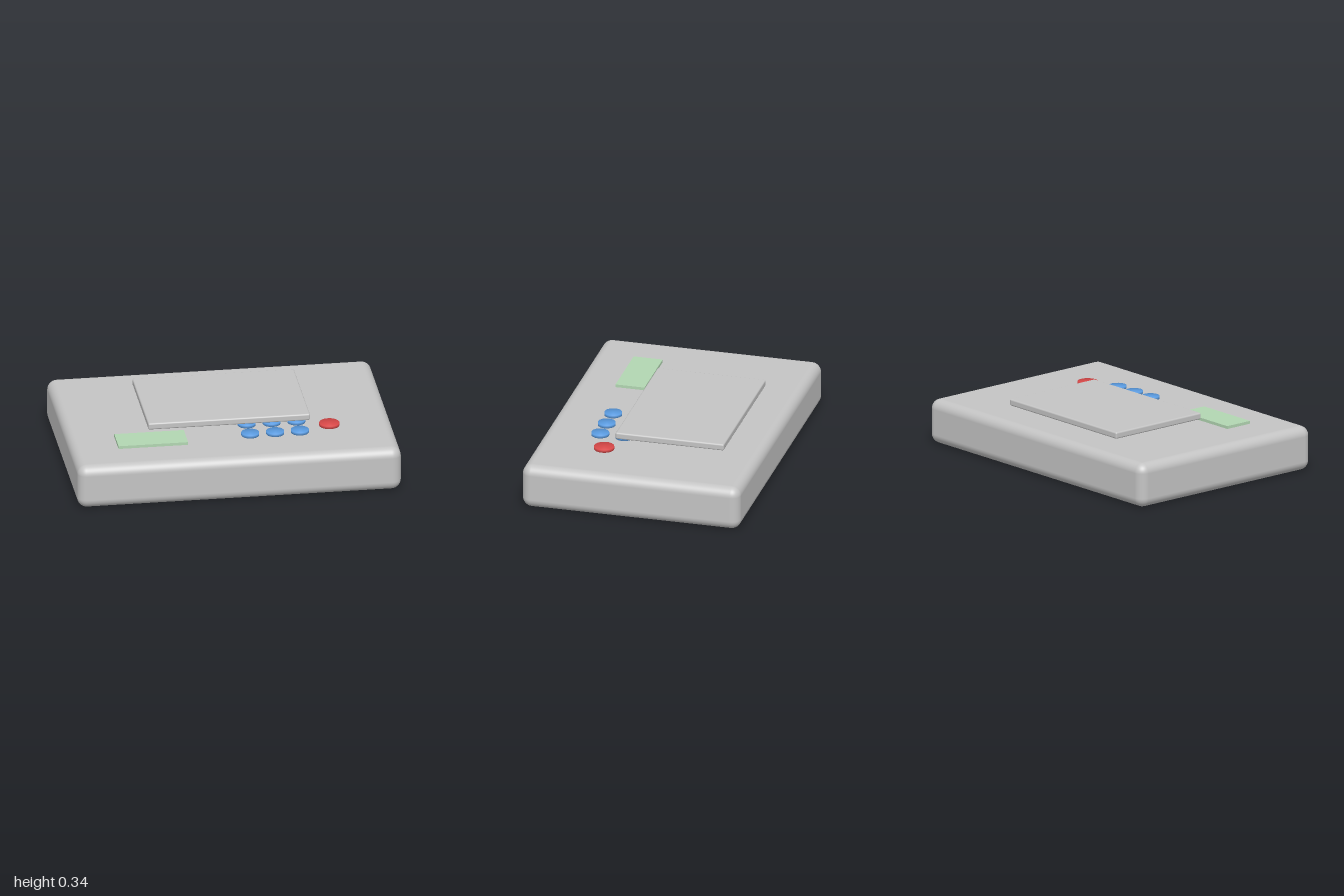
import * as THREE from 'three';
import { mergeVertices } from 'three/addons/utils/BufferGeometryUtils.js';
import { RoundedBoxGeometry } from 'three/addons/geometries/RoundedBoxGeometry.js';

const material = (name, color) => {
  const m = new THREE.MeshStandardMaterial({ color });
  m.name = name;
  return m;
};

// Cylinder whose normals blend over the rim, for a soft, pillowy key
function softCylinder(radius, height) {
  const g = new THREE.CylinderGeometry(radius, radius, height, 32);
  g.deleteAttribute('normal');
  g.deleteAttribute('uv');
  const merged = mergeVertices(g, 1e-4);
  merged.computeVertexNormals();
  return merged;
}

export function createModel() {
  const group = new THREE.Group();
  const grey = material('casing grey', 0xc4c4c4);
  const blue = material('button blue', 0x5a9be0);
  const red = material('button red', 0xd84848);
  const green = material('display green', 0xb2d6b2);

  const add = (name, geometry, mat, x, y, z) => {
    const mesh = new THREE.Mesh(geometry, mat);
    mesh.name = name;
    mesh.position.set(x, y, z);
    group.add(mesh);
  };

  const top = 0.278; // top face of the casing
  const raised = 0.296; // top of keys and display

  // Casing with rounded edges
  add('casing', new RoundedBoxGeometry(2, top, 1.38, 6, 0.06), grey, 0, top / 2, 0);

  // Weighing plate held just above the casing
  add('plate', new RoundedBoxGeometry(1, 0.042, 0.686, 4, 0.01), grey, 0, 0.319, -0.118);

  // Display panel
  const panelHeight = raised - top + 0.004;
  const panelY = raised - panelHeight / 2;
  add('display', new THREE.BoxGeometry(0.43, panelHeight, 0.184), green, -0.5, panelY, 0.342);

  // Two rows of three keys, the rear row partly under the plate
  const key = softCylinder(0.055, panelHeight);
  for (const z of [0.19, 0.342]) {
    for (const x of [0.112, 0.266, 0.419]) add('key', key, blue, x, panelY, z);
  }

  // Larger power button
  add('powerButton', softCylinder(0.062, panelHeight), red, 0.612, panelY, 0.266);

  return group;
}
